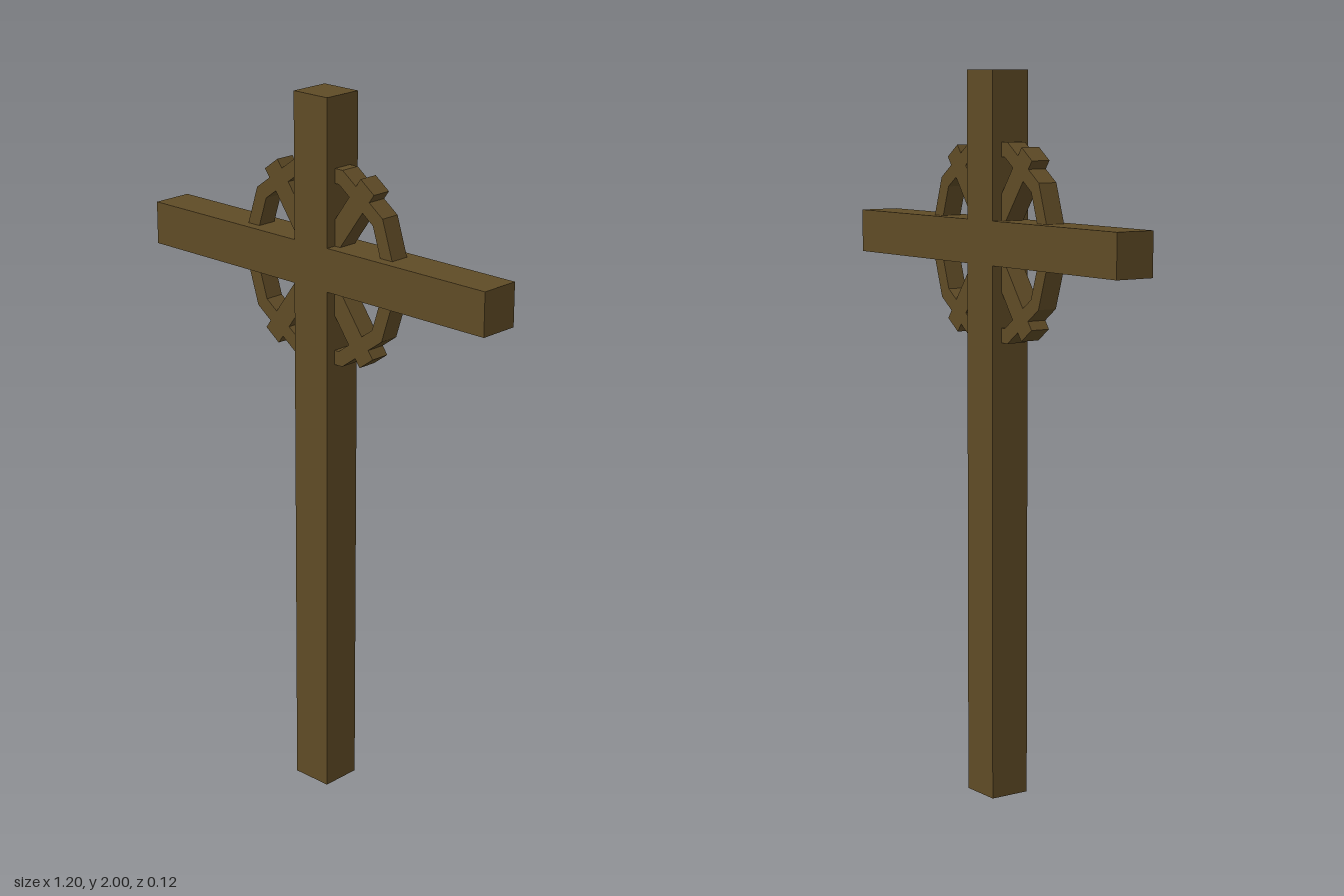
import * as THREE from 'three';

export function createModel() {
  const model = new THREE.Group();
  const wood = new THREE.MeshStandardMaterial({ color: 0x5f4b26, flatShading: true });
  const hubY = 1.54, depth = 0.116, ringDepth = 0.057;

  const add = (name, geometry, y, turn = 0) => {
    const mesh = new THREE.Mesh(geometry, wood);
    mesh.name = name;
    mesh.position.y = y;
    mesh.rotation.z = turn;
    model.add(mesh);
  };

  // Upright post and crossbar
  add('post', new THREE.BoxGeometry(0.12, 2, depth), 1);
  add('crossbar', new THREE.BoxGeometry(1.2, 0.12, depth), hubY);

  // Ten-sided ring around the crossing
  const decagon = (r) => Array.from({ length: 10 }, (_, i) => {
    const a = (i / 10) * Math.PI * 2;
    return new THREE.Vector2(r * Math.cos(a), r * Math.sin(a));
  });
  const outline = new THREE.Shape(decagon(0.283));
  outline.holes.push(new THREE.Path(decagon(0.241)));
  const ring = new THREE.ExtrudeGeometry(outline, { depth: ringDepth, bevelEnabled: false });
  ring.translate(0, 0, -ringDepth / 2);
  add('ring', ring, hubY);

  // Two diagonal bars reaching just past the ring
  for (const side of [1, -1]) {
    add('diagonalBar', new THREE.BoxGeometry(0.594, 0.058, ringDepth), hubY, side * THREE.MathUtils.degToRad(54));
  }

  return model;
}
